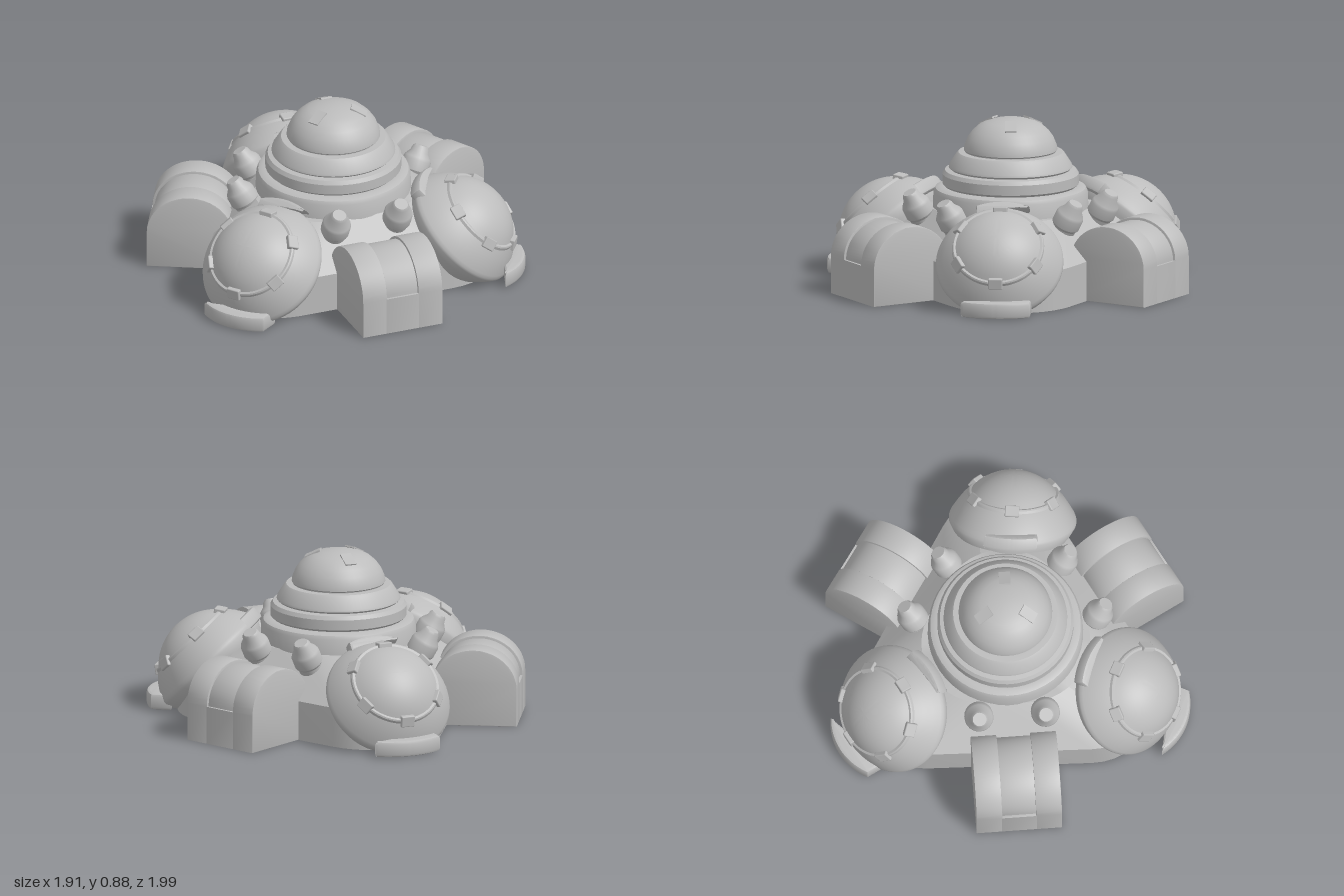
import * as THREE from 'three';
import { toCreasedNormals } from 'three/addons/utils/BufferGeometryUtils.js';
import { RoundedBoxGeometry } from 'three/addons/geometries/RoundedBoxGeometry.js';

const hull = new THREE.MeshStandardMaterial({ color: 0xbcbcbc });
hull.name = 'hullGrey';

function part(name, geometry, parent) {
  const mesh = new THREE.Mesh(geometry, hull);
  mesh.name = name;
  parent.add(mesh);
  return mesh;
}

function lathe(profile, segments = 48) {
  return new THREE.LatheGeometry(profile.map(([r, y]) => new THREE.Vector2(r, y)), segments);
}

const crease = (g, angle = 0.5) => toCreasedNormals(g, angle);

// Rounded triangle ring with its corners towards the three pods
function triangleRing(inradius, r, y, steps = 12) {
  const ring = [];
  for (let k = 0; k < 3; k++) {
    const mid = Math.PI / 2 + (k * 2 * Math.PI) / 3, d = 2 * (inradius - r);
    for (let i = 0; i <= steps; i++) {
      const a = mid + (i / steps - 0.5) * ((2 * Math.PI) / 3);
      ring.push([d * Math.cos(mid) + r * Math.cos(a), y, -d * Math.sin(mid) - r * Math.sin(a)]);
    }
  }
  return ring;
}

// Skin between rings of equal point count
function loft(rings) {
  const n = rings[0].length, index = [];
  for (let j = 0; j < rings.length - 1; j++) {
    for (let i = 0; i < n; i++) {
      const a = j * n + i, b = j * n + ((i + 1) % n);
      index.push(a, b, a + n, b, b + n, a + n);
    }
  }
  const g = new THREE.BufferGeometry();
  g.setAttribute('position', new THREE.Float32BufferAttribute(rings.flat(2), 3));
  g.setIndex(index);
  g.computeVertexNormals();
  return g;
}

function bevelled(shape, depth, bevel) {
  return new THREE.ExtrudeGeometry(shape, {
    depth: depth - 2 * bevel, bevelEnabled: true, bevelThickness: bevel,
    bevelSize: bevel, bevelOffset: -bevel, bevelSegments: 2, curveSegments: 20,
  }).translate(0, 0, bevel);
}

// Block towards -z with a curved outer face and parallel sides
function curvedBlock(inner, r, half, height) {
  const s = new THREE.Shape(), x = r * Math.sin(half);
  s.moveTo(x, inner);
  s.absarc(0, 0, r, Math.PI / 2 - half, Math.PI / 2 + half, false);
  s.lineTo(-x, inner);
  s.closePath();
  return crease(bevelled(s, height, 0.016).rotateX(-Math.PI / 2));
}

// Barrel arch whose axis runs along x; inset lowers the curved part
function arch(width, inset) {
  const c = 0.735, a = 0.228, y = 0.2, h = 0.208;
  const s = new THREE.Shape();
  s.moveTo(c - a, 0);
  s.lineTo(c + a, 0);
  s.lineTo(c + a, y);
  if (inset) s.lineTo(c + a - inset, y);
  s.absellipse(c, y, a - inset, h - inset, 0, Math.PI, false, 0);
  if (inset) s.lineTo(c - a, y);
  s.closePath();
  return crease(bevelled(s, width, 0.003).translate(0, 0, -width / 2).rotateY(-Math.PI / 2));
}

function addGate(parent) {
  const gate = new THREE.Group();
  gate.name = 'gate';
  parent.add(gate);
  for (const side of [-1, 1]) part('gateShell', arch(0.136, 0), gate).position.x = side * 0.157;
  part('gateCore', arch(0.19, 0.014), gate);
}

// Height kept clear above the hollow of the platform
function podFloor(x, z) {
  const nearCorner = z < -0.5 ? Math.hypot(x, z + 0.4) < 0.33 : true;
  return nearCorner && 0.866 * Math.abs(x) - 0.5 * z < 0.53 ? 0.13 : 0.002;
}

function addPod(parent) {
  const pod = new THREE.Group();
  pod.name = 'pod';
  parent.add(pod);
  const tilt = -Math.PI / 4, y0 = 0.24, z0 = -0.695;

  // Tapered underside, skirt, collar and shallow cap, cut flat at the ground
  const profile = [[0, -0.2], [0.07, -0.2], [0.14, -0.2], [0.2, -0.2], [0.235, -0.16], [0.27, -0.12],
    [0.295, -0.08], [0.315, -0.05], [0.335, -0.01], [0.335, 0.005], [0.328, 0.022], [0.305, 0.06],
    [0.275, 0.105], [0.243, 0.138], [0.24, 0.152], [0.234, 0.158], [0.222, 0.157]];
  for (let i = 1; i <= 10; i++) {
    const a = 0.738 + (i / 10) * (Math.PI / 2 - 0.738);
    profile.push([Math.max(0, 0.3 * Math.cos(a)), 0.3 * Math.sin(a) - 0.045]);
  }
  const body = lathe(profile, 64).rotateX(tilt).translate(0, y0, z0);
  const p = body.attributes.position;
  for (let i = 0; i < p.count; i++) p.setY(i, Math.max(podFloor(p.getX(i), p.getZ(i)), p.getY(i)));
  part('podShell', crease(body), pod);

  // Details sharing the tilt of the pod
  const tilted = new THREE.Group();
  tilted.name = 'podDetails';
  tilted.position.set(0, y0, z0);
  tilted.rotation.x = tilt;
  pod.add(tilted);
  for (let k = 0; k < 6; k++) {
    const holder = new THREE.Group();
    holder.name = 'rimTab';
    holder.rotation.y = (k * Math.PI) / 3;
    tilted.add(holder);
    const tab = part('tab', new RoundedBoxGeometry(0.075, 0.06, 0.03, 1, 0.006), holder);
    tab.position.set(0, 0.15, 0.235);
    tab.rotation.x = -0.65;
  }
  const clamp = part('podClamp', curvedBlock(0.275, 0.36, 0.4, 0.075), tilted);
  clamp.rotation.y = Math.PI;
  clamp.position.y = -0.025;

  part('podFoot', curvedBlock(0.16, 0.33, 0.59, 0.085), pod).position.z = z0;
}

function addBollard(parent, side) {
  const g = lathe([[0, -0.06], [0.062, -0.06], [0.066, 0.02], [0.076, 0.035], [0.076, 0.09],
    [0.07, 0.105], [0.05, 0.132], [0.045, 0.155], [0.036, 0.168], [0, 0.168]], 24);
  const bollard = part('bollard', crease(g), parent);
  bollard.position.set(side * 0.175, 0.355, 0.432);
  bollard.rotation.x = 0.5;
}

function addSector(parent, name, angle) {
  const sector = new THREE.Group();
  sector.name = name;
  sector.rotation.y = angle;
  parent.add(sector);
  return sector;
}

export function createModel() {
  const model = new THREE.Group();
  model.name = 'domedBase';
  const centre = new THREE.Group();
  centre.name = 'station';
  centre.position.z = 0.025;
  model.add(centre);

  // Triangular platform with a hollow underside and a sloping roof
  part('platform', crease(loft([
    triangleRing(0, 0, 0.1), triangleRing(0.47, 0.27, 0.1), triangleRing(0.47, 0.27, 0),
    triangleRing(0.6, 0.35, 0), triangleRing(0.6, 0.35, 0.21),
    triangleRing(0.4, 0.34, 0.41), triangleRing(0, 0, 0.41),
  ])), centre);

  // Rounded bar under the floor
  const bar = part('undersideBar', new THREE.CapsuleGeometry(0.06, 0.46, 8, 20), centre);
  bar.rotation.z = Math.PI / 2;
  bar.position.set(0, 0.09, 0.175);

  // Stepped central tower
  part('tower', crease(lathe([[0.41, 0.38], [0.405, 0.49], [0.395, 0.51], [0.372, 0.52], [0.345, 0.52],
    [0.358, 0.532], [0.358, 0.585], [0.345, 0.605], [0.315, 0.61], [0.325, 0.62], [0.322, 0.632],
    [0.285, 0.69], [0.275, 0.7], [0.24, 0.702], [0.24, 0.71], [0, 0.71]])), centre);
  part('towerDome', crease(lathe([[0.235, 0.7], [0.246, 0.712], [0.243, 0.735], [0.225, 0.778], [0.2, 0.812],
    [0.165, 0.843], [0.13, 0.86], [0.085, 0.872], [0.04, 0.878], [0, 0.88]]), 0.6), centre);

  // Three gates with bollards and three pods; the side pairs swing slightly to the front
  for (const k of [-1, 0, 1]) {
    const third = (k * 2 * Math.PI) / 3;
    const gateSector = addSector(centre, 'gateSector', third - k * 0.04);
    addGate(gateSector);
    for (const side of [-1, 1]) addBollard(gateSector, side);
    addPod(addSector(centre, 'podSector', third + k * 0.09));

    const slot = part('domeSlot', new THREE.BoxGeometry(0.06, 0.009, 0.09),
      addSector(centre, 'slotSector', third));
    slot.position.set(0, 0.857, -0.135);
    slot.rotation.x = -0.45;
  }
  return model;
}
